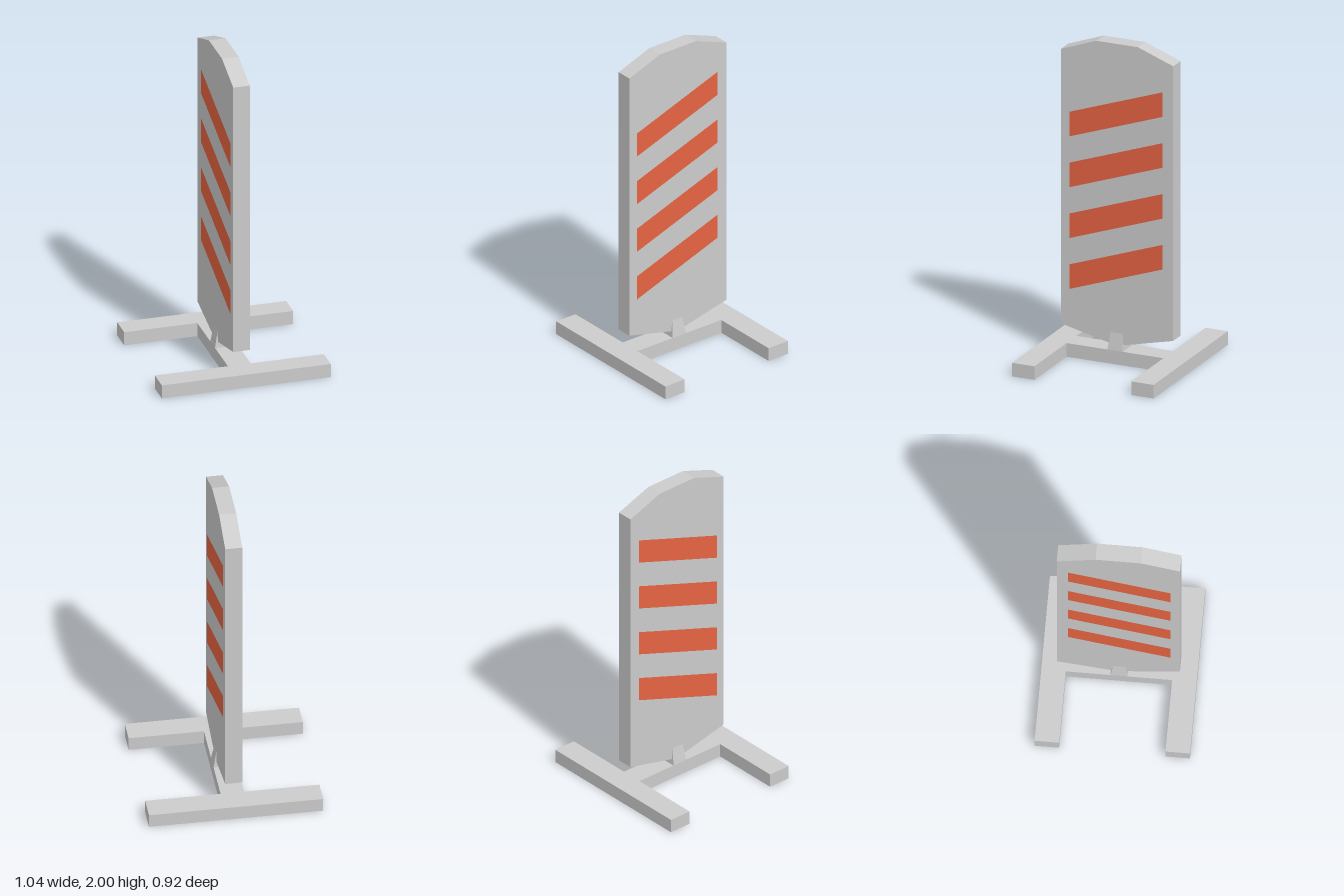
import * as THREE from 'three';

const grey = new THREE.MeshStandardMaterial({ color: 0xcccccc, flatShading: true });
const orange = new THREE.MeshStandardMaterial({ color: 0xe66442, flatShading: true });

const shapeOf = (points) => new THREE.Shape(points.map(([a, b]) => new THREE.Vector2(a, b)));

function addMesh(parent, name, geometry, material = grey) {
  const mesh = new THREE.Mesh(geometry, material);
  mesh.name = name;
  parent.add(mesh);
  return mesh;
}

export function createModel() {
  const model = new THREE.Group();
  model.name = 'barrierPanel';

  // H-shaped foot: two crossbars joined by a spine
  const X = 0.52, S = 0.07, OUT = 0.46, IN = 0.315, H = 0.085;
  const foot = new THREE.ExtrudeGeometry(shapeOf([
    [-X, -OUT], [X, -OUT], [X, -IN], [S, -IN], [S, IN], [X, IN],
    [X, OUT], [-X, OUT], [-X, IN], [-S, IN], [-S, -IN], [-X, -IN],
  ]), { depth: H, bevelEnabled: false });
  foot.rotateX(-Math.PI / 2);
  addMesh(model, 'foot', foot);

  // Tapered socket holding the panel
  const socket = new THREE.BoxGeometry(0.14, 0.105, 0.1);
  const pos = socket.attributes.position;
  for (let i = 0; i < pos.count; i++) {
    if (pos.getY(i) > 0) {
      pos.setX(i, Math.sign(pos.getX(i)) * 0.051);
      pos.setZ(i, Math.sign(pos.getZ(i)) * 0.037);
    }
  }
  socket.translate(0, H + 0.0525, 0);
  socket.computeVertexNormals();
  addMesh(model, 'socket', socket);

  // Upright panel with chamfered top and shallow pointed bottom (profile in -z, y)
  const panel = new THREE.ExtrudeGeometry(shapeOf([
    [-0.36, 0.195], [-0.04, 0.12], [0.05, 0.12], [0.37, 0.195],
    [0.37, 1.915], [0.14, 2], [-0.13, 2], [-0.36, 1.915],
  ]), { depth: 0.102, bevelEnabled: false });
  panel.translate(0, 0, -0.051);
  panel.rotateY(Math.PI / 2);
  addMesh(model, 'panel', panel);

  // Slanted stripes on both faces, rising towards the back
  for (const side of [1, -1]) {
    for (let i = 0; i < 4; i++) {
      const y = 0.42 + i * 0.3185;
      const stripe = new THREE.ShapeGeometry(shapeOf([
        [-0.305 * side, y], [0.302 * side, y + 0.213],
        [0.302 * side, y + 0.367], [-0.305 * side, y + 0.154],
      ]));
      stripe.rotateY(side * Math.PI / 2);
      stripe.translate(side * 0.0525, 0, 0);
      addMesh(model, side > 0 ? 'leftStripe' : 'rightStripe', stripe, orange);
    }
  }
  return model;
}
